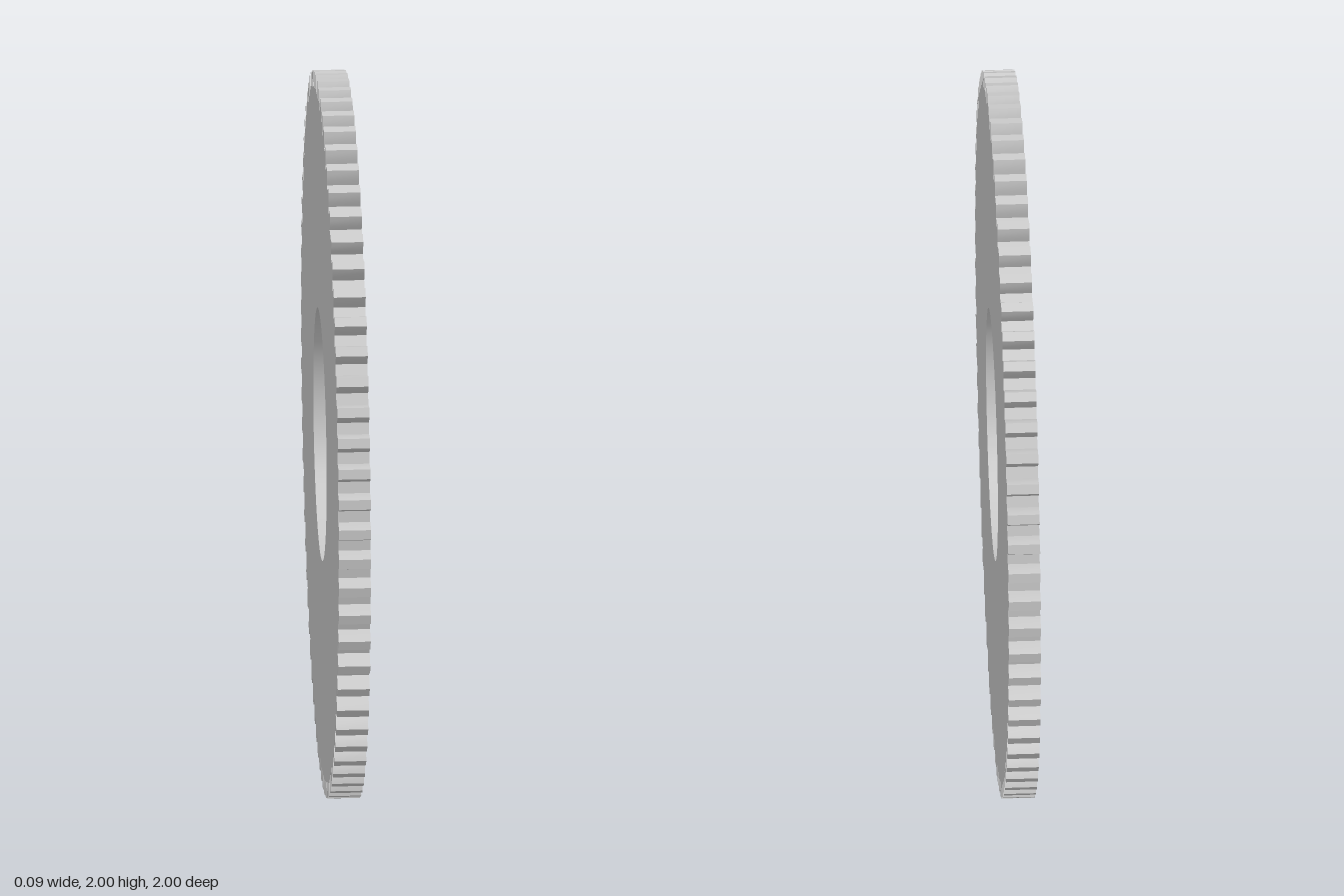
import * as THREE from 'three';
import { toCreasedNormals } from 'three/addons/utils/BufferGeometryUtils.js';

const TEETH = 74;
const THICKNESS = 0.088;
const BORE_RADIUS = 0.348;
// Half a tooth, root to tip: [radius, half width]
const FLANK = [[0.956, 0.0245], [0.97, 0.0225], [0.986, 0.019], [1.0, 0.0135]];

// Toothed outline with the round bore cut out
function gearShape() {
  const pitch = (Math.PI * 2) / TEETH;
  const points = [];
  const add = (r, angle) => points.push(new THREE.Vector2(r * Math.cos(angle), r * Math.sin(angle)));
  for (let i = 0; i < TEETH; i++) {
    const centre = (i + 0.25) * pitch;
    FLANK.forEach(([r, w]) => add(r, centre - w / r));
    [...FLANK].reverse().forEach(([r, w]) => add(r, centre + w / r));
  }
  const shape = new THREE.Shape(points);
  shape.holes.push(new THREE.Path().absarc(0, 0, BORE_RADIUS, 0, Math.PI * 2, true));
  return shape;
}

export function createModel() {
  const model = new THREE.Group();
  model.name = 'spurGear';

  // Flat disc with teeth, its axis along x
  const geometry = new THREE.ExtrudeGeometry(gearShape(), {
    depth: THICKNESS, bevelEnabled: false, curveSegments: 96,
  });
  geometry.translate(0, 0, -THICKNESS / 2);
  geometry.rotateY(-Math.PI / 2);

  const gear = new THREE.Mesh(
    toCreasedNormals(geometry, THREE.MathUtils.degToRad(25)),
    new THREE.MeshStandardMaterial({ color: 0xcccccc }),
  );
  gear.name = 'toothedDisc';
  gear.position.y = 1;
  model.add(gear);
  return model;
}
